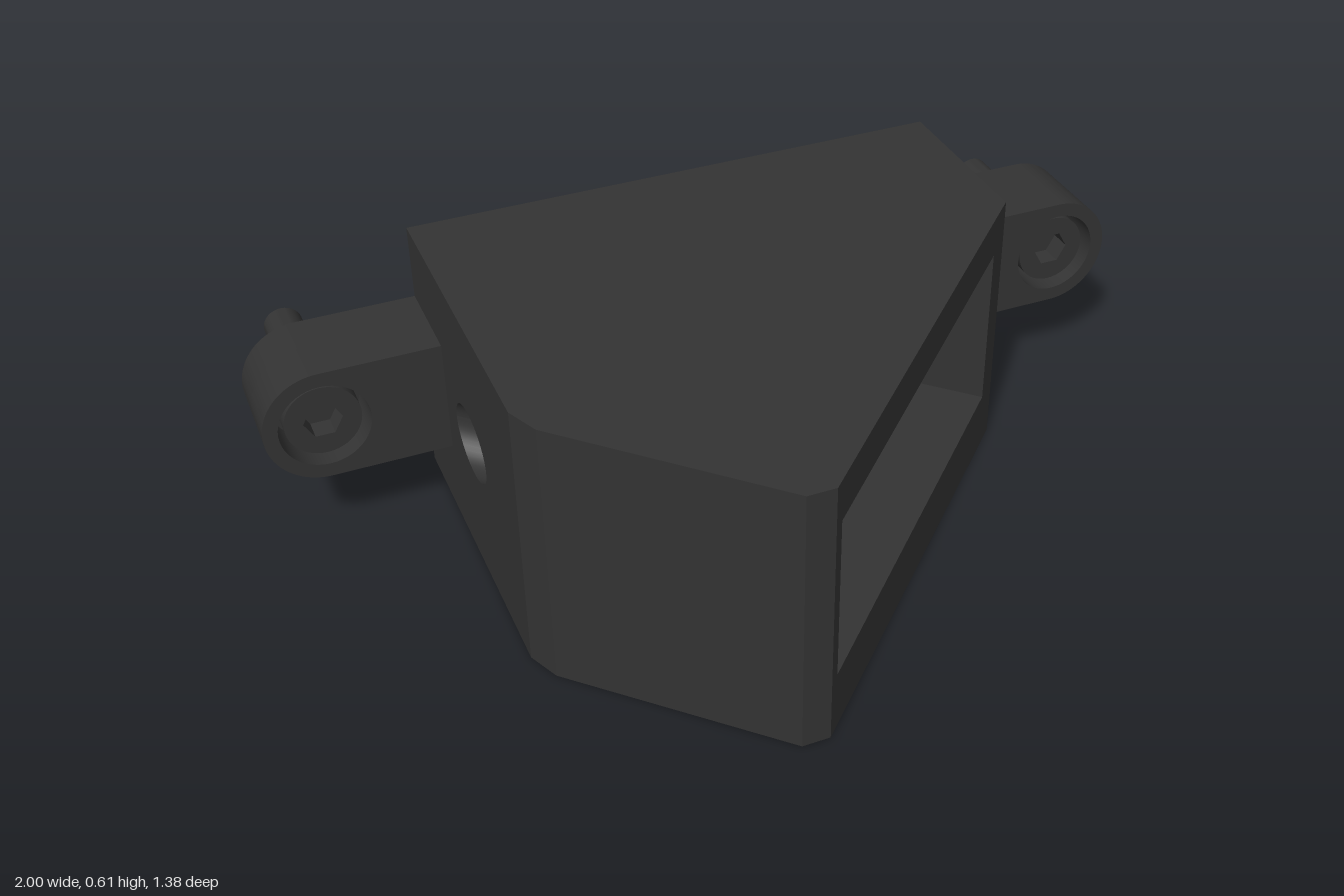
import * as THREE from 'three';
import { mergeGeometries, toCreasedNormals } from 'three/addons/utils/BufferGeometryUtils.js';

const HEIGHT = 0.61, MID = 0.31, BACK = -0.475, LEFT = -0.61;
const FLOOR = 0.14, CEILING = 0.515, BORE = 0.075;
const dark = new THREE.MeshStandardMaterial({ color: 0x333333 });
const darkDouble = new THREE.MeshStandardMaterial({ color: 0x333333, side: THREE.DoubleSide });

// Plan outlines as [x, z]; walls face the right-hand side of travel seen from above
const outline = [[-0.21, 0.685], [-0.15, 0.685], [0.605, -0.07], [0.605, BACK], [LEFT, BACK], [LEFT, 0.245], [-0.58, 0.315]];
const pocket = [[-0.13, 0.665], [-0.53, 0.265], [0.125, -0.39], [0.185, -0.39], [0.555, -0.02]];

// Two diagonal bores: centre on the pocket's rear wall, and exit on the outside
const bores = [
  { from: [-0.005, -0.26], to: [-0.22, BACK], axis: 2, plane: BACK },
  { from: [-0.395, 0.13], to: [LEFT, -0.085], axis: 0, plane: LEFT },
];

const dist = (a, b) => Math.hypot(b[0] - a[0], b[1] - a[1]);

function mesh(name, geometry, material = dark) {
  const m = new THREE.Mesh(geometry, material);
  m.name = name;
  return m;
}

function ellipse(x, y, rx, ry = rx) {
  return new THREE.Path().absellipse(x, y, rx, ry, 0, Math.PI * 2);
}

function rect(x0, x1, y0, y1) {
  return [[x0, y0], [x1, y0], [x1, y1], [x0, y1]].map(p => new THREE.Vector2(...p));
}

// Upright wall from a to b with optional openings in (distance, height)
function wall(a, b, y0, y1, holes = []) {
  const len = dist(a, b);
  const shape = new THREE.Shape(rect(0, len, y0, y1));
  shape.holes.push(...holes);
  const s = new THREE.Vector3((b[0] - a[0]) / len, 0, (b[1] - a[1]) / len);
  const up = new THREE.Vector3(0, 1, 0);
  const basis = new THREE.Matrix4().makeBasis(s, up, s.clone().cross(up));
  basis.setPosition(a[0], 0, a[1]);
  return new THREE.ShapeGeometry(shape, 24).applyMatrix4(basis);
}

// Horizontal face over a plan outline
function cap(points, y, faceUp) {
  const sign = faceUp ? -1 : 1;
  const shape = new THREE.Shape(points.map(([x, z]) => new THREE.Vector2(x, sign * z)));
  return new THREE.ShapeGeometry(shape).rotateX(sign * Math.PI / 2).translate(0, y, 0);
}

function housing() {
  const faces = outline.map((a, i) => {
    const b = outline[(i + 1) % outline.length];
    const holes = [];
    if (i === 1) holes.push(new THREE.Path(rect(dist(a, pocket[0]), dist(a, pocket[4]), FLOOR, CEILING)));
    if (i === 3) holes.push(ellipse(dist(a, bores[0].to), MID, BORE * Math.SQRT2, BORE));
    if (i === 4) holes.push(ellipse(dist(a, bores[1].to), MID, BORE * Math.SQRT2, BORE));
    return wall(a, b, 0, HEIGHT, holes);
  });
  return mergeGeometries([...faces, cap(outline, HEIGHT, true), cap(outline, 0, false)]);
}

function pocketLining() {
  const faces = pocket.slice(0, -1).map((a, i) => wall(a, pocket[i + 1], FLOOR, CEILING,
    i === 1 ? bores.map(h => ellipse(dist(a, h.from), MID, BORE)) : []));
  return mergeGeometries([...faces, cap(pocket, FLOOR, true), cap(pocket, CEILING, false)]);
}

// Tube from the pocket's rear wall, cut off by the outer wall's plane
function boreTube({ from, axis, plane }) {
  const n = 48, pos = [], index = [];
  for (let i = 0; i <= n; i++) {
    const t = i / n * Math.PI * 2, w = BORE * Math.cos(t) * Math.SQRT1_2;
    const p = [from[0] + w, MID + BORE * Math.sin(t), from[1] - w];
    const k = p[axis] - plane;
    pos.push(...p, p[0] - k, p[1], p[2] - k);
    if (i < n) index.push(2 * i, 2 * i + 1, 2 * i + 2, 2 * i + 1, 2 * i + 3, 2 * i + 2);
  }
  const g = new THREE.BufferGeometry();
  g.setAttribute('position', new THREE.Float32BufferAttribute(pos, 3));
  g.setIndex(index);
  g.computeVertexNormals();
  return g;
}

function extrude(shape, z0, z1, segments = 24) {
  const g = new THREE.ExtrudeGeometry(shape, { depth: z1 - z0, bevelEnabled: false, curveSegments: segments });
  return toCreasedNormals(g.translate(0, 0, z0), 0.5);
}

// Mounting ear with a counterbored socket screw, centred on the screw axis
function mountingEar() {
  const ear = new THREE.Group();
  const seat = -0.375, front = -0.265;
  const profile = () => {
    const s = new THREE.Shape();
    s.moveTo(-0.27, -0.13);
    s.lineTo(0, -0.13);
    s.absarc(0, 0, 0.13, -Math.PI / 2, Math.PI / 2);
    s.lineTo(-0.27, 0.13);
    return s;
  };
  const collar = profile();
  collar.holes.push(ellipse(0, 0, 0.098));
  ear.add(mesh('earBase', extrude(profile(), BACK, seat)));
  ear.add(mesh('earCollar', extrude(collar, seat, front)));

  // Screw: head with a hexagonal socket, and a shank with a chamfered tip
  const head = new THREE.Shape().absarc(0, 0, 0.082, 0, Math.PI * 2);
  const hex = Array.from({ length: 6 }, (_, i) => new THREE.Vector2(
    0.042 * Math.cos(i * Math.PI / 3), 0.042 * Math.sin(i * Math.PI / 3)));
  head.holes.push(new THREE.Path(hex));
  ear.add(mesh('screwHead', extrude(head, seat, front - 0.02)));
  ear.add(mesh('socketFloor', new THREE.CircleGeometry(0.045, 24).translate(0, 0, seat + 0.04)));
  const shank = [[0, -0.69], [0.033, -0.69], [0.043, -0.68], [0.043, BACK + 0.02]]
    .map(p => new THREE.Vector2(...p));
  const lathe = new THREE.LatheGeometry(shank, 32).rotateX(Math.PI / 2);
  ear.add(mesh('screwShank', toCreasedNormals(lathe, 0.5), darkDouble));
  return ear;
}

export function createModel() {
  const model = new THREE.Group();
  model.name = 'angledHousing';
  model.add(mesh('housing', housing()), mesh('pocket', pocketLining()));
  bores.forEach((b, i) => model.add(mesh(i ? 'sideBore' : 'backBore', boreTube(b), darkDouble)));

  // The ear is symmetric top to bottom, so a half turn makes its opposite
  for (const side of [1, -1]) {
    const ear = mountingEar();
    ear.name = side > 0 ? 'leftEar' : 'rightEar';
    ear.position.set(side * 0.87, MID, 0);
    if (side < 0) ear.rotation.z = Math.PI;
    model.add(ear);
  }
  return model;
}
